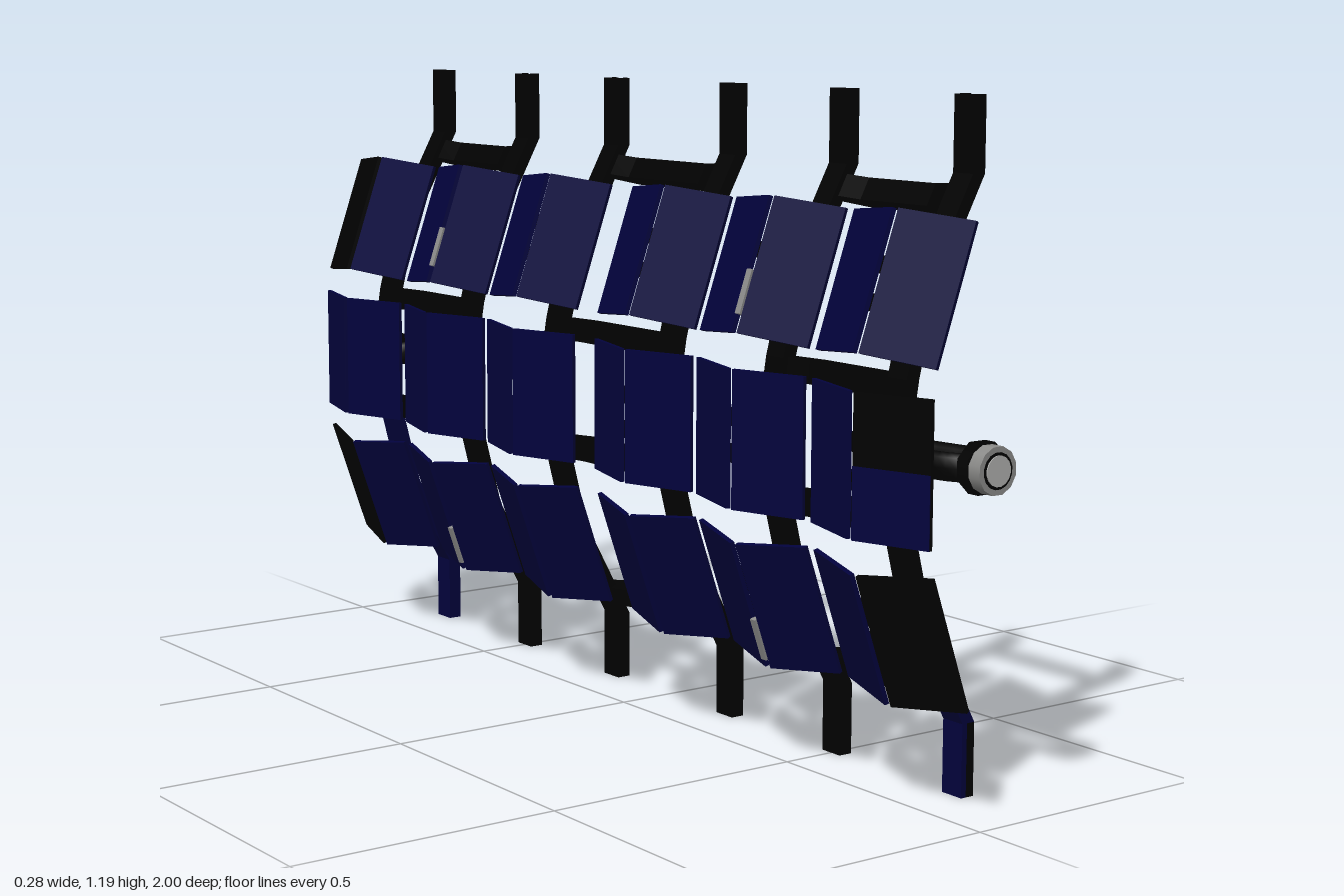
import * as THREE from 'three';

const mat = (name, color) => {
  const m = new THREE.MeshStandardMaterial({ color });
  m.name = name;
  return m;
};

export function createModel() {
  const black = mat('black', 0x010101);
  const navy = mat('navy', 0x02023c);
  const grey = mat('grey', 0x8c8c8a);
  const lightGrey = mat('light grey', 0xb0b0ae);
  const root = new THREE.Group();
  root.name = 'armourRack';
  const H = 1.19;

  const add = (parent, name, geometry, material, x = 0, y = 0, z = 0) => {
    const m = new THREE.Mesh(geometry, material);
    m.name = name;
    m.position.set(x, y, z);
    parent.add(m);
    return m;
  };
  const extrude = (pts, depth) => new THREE.ExtrudeGeometry(
    new THREE.Shape(pts.map(p => new THREE.Vector2(p[0], p[1]))),
    { depth, bevelEnabled: false }).translate(0, 0, -depth / 2);

  // Bent ribs: channels open towards +x, made of a web and two flanges
  const lower = [[0.115, 0], [0.115, 0.13], [0.015, 0.315], [-0.022, 0.46], [-0.035, 0.54], [-0.035, H / 2]];
  const upper = lower.map(([x, y]) => [x, H - y]).reverse();
  const strip = (path, a, b, width) => extrude(
    [...path.map(([x, y]) => [x + b, y]), ...path.map(([x, y]) => [x + a, y]).reverse()], width);
  const ribSection = (parent, path, material, sideMaterial = material) => {
    add(parent, 'ribWeb', strip(path, -0.0135, -0.003, 0.048), material);
    for (const s of [-1, 1])
      add(parent, 'ribFlange', strip(path, -0.0135, 0.0135, 0.011), [sideMaterial, material], 0, 0, s * 0.0185);
  };
  const ribZ = [-0.82, -0.5, -0.185, 0.185, 0.5, 0.82];
  ribZ.forEach((z, i) => {
    const rib = new THREE.Group();
    rib.name = 'rib';
    rib.position.z = z;
    if (i === 5) {
      ribSection(rib, lower.slice(0, 2), navy, black);
      ribSection(rib, lower.slice(1, 3), navy);
      ribSection(rib, lower.slice(2), black);
    } else {
      ribSection(rib, lower, i === 0 ? navy : black);
    }
    ribSection(rib, upper, black);
    root.add(rib);
  });

  // Bowed crossbars joining the ribs in pairs
  const crossbar = (x, y, nx, ny, z, half, bow) => {
    const h = half, k = half - 0.08;
    const geo = extrude([[-h, 0], [-k, 0.012], [k, 0.012], [h, 0],
      [h, bow - 0.02], [k, bow], [-k, bow], [-h, bow - 0.02]], 0.042);
    const n = new THREE.Vector3(nx, ny, 0).normalize();
    geo.applyMatrix4(new THREE.Matrix4().makeBasis(
      new THREE.Vector3(0, 0, 1), n, new THREE.Vector3(-n.y, n.x, 0)));
    add(root, 'crossbar', geo, black, x, y, z);
  };
  for (const [z, half] of [[-0.66, 0.165], [0, 0.19], [0.66, 0.165]]) {
    for (const s of [-1, 1]) {
      crossbar(0.089, H / 2 + s * 0.431, 0.885, -0.466 * s, z, half, 0.046);
      crossbar(-0.032, H / 2 + s * 0.117, 1, -0.08 * s, z, half, 0.047);
    }
  }

  // Three rows of folded plates: two thin leaves per rib, held by two brackets
  const leafGeo = new THREE.BoxGeometry(0.008, 0.245, 0.148);
  // Leaves (row, rib, side) that are black on the inner (+x) or outer (-x) face
  const blackInner = ['2,0,-1', '1,0,-1', '0,0,-1', '1,5,1', '0,5,1', '2,3,1', '0,3,1'];
  const blackOuter = ['2,0,-1', '0,0,-1', '0,5,1', '1,5,1'];
  const rows = [[-0.062, 0.303, 0.335, 0.058], [-0.11, H / 2, 0, 0.075], [-0.062, 0.887, -0.335, 0.058]];
  rows.forEach(([x, y, tilt, reach], r) => {
    const row = new THREE.Group();
    row.name = 'plateRow';
    row.position.set(x, y, 0);
    row.rotation.z = tilt;
    root.add(row);
    const bracketGeo = extrude([[-0.016, 0], [0.004, -0.08], [0.016, -0.08], [reach, -0.028],
      [reach, 0.028], [0.016, 0.08], [0.004, 0.08]], 0.022).rotateX(Math.PI / 2);
    ribZ.forEach((z, i) => {
      for (const s of [-1, 1]) {
        const key = `${r},${i},${s}`;
        const inner = blackInner.includes(key) ? black : navy;
        const outer = blackOuter.includes(key) ? black : navy;
        const leaf = add(row, 'plateLeaf', leafGeo, [inner, outer, outer, outer, outer, outer], 0, 0, z + s * 0.077);
        leaf.rotation.y = s * 0.288;
        // Lower half of the front end leaf is navy outside
        if (key === '1,5,1')
          add(leaf, 'leafPanel', new THREE.BoxGeometry(0.002, 0.123, 0.148), navy, -0.0048, -0.061, 0);
        add(row, 'bracket', bracketGeo, black, 0, s * 0.032, z);
      }
      // Small grey hinge strip in the gap between the leaves
      if (r !== 1 && (i === 1 || i === 4))
        add(row, 'hinge', new THREE.BoxGeometry(0.034, 0.08, 0.014), grey, -0.012, r === 2 ? -0.05 : -0.065, z);
    });
  });

  // Looped handle with a round capped knob at each end
  const loop = new THREE.CatmullRomCurve3(
    [[0.03, 0.785], [0.052, 0.86], [0.056, 0.93], [0.022, 0.957], [-0.008, 0.93], [-0.02, 0.86], [-0.012, 0.785]]
      .map(([x, z]) => new THREE.Vector3(x, 0, z)), true);
  const loopGeo = new THREE.TubeGeometry(loop, 28, 0.015, 8, true).scale(1, 1.6, 1);
  const disc = (r, depth, sides) => new THREE.CylinderGeometry(r, r, depth, sides)
    .rotateY(Math.PI / sides).rotateX(Math.PI / 2);
  for (const s of [-1, 1]) {
    const end = new THREE.Group();
    end.name = 'endHandle';
    end.position.y = H / 2;
    if (s < 0) end.scale.z = -1;
    add(end, 'handleLoop', loopGeo, black);
    add(end, 'knobCollar', disc(0.046, 0.024, 8), black, 0.026, 0, 0.959);
    add(end, 'knobCap', disc(0.041, 0.026, 12), grey, 0.026, 0, 0.984);
    add(end, 'knobRing', disc(0.031, 0.003, 16), black, 0.026, 0, 0.9965);
    add(end, 'knobFace', disc(0.026, 0.004, 16), lightGrey, 0.026, 0, 0.998);
    root.add(end);
  }
  return root;
}
